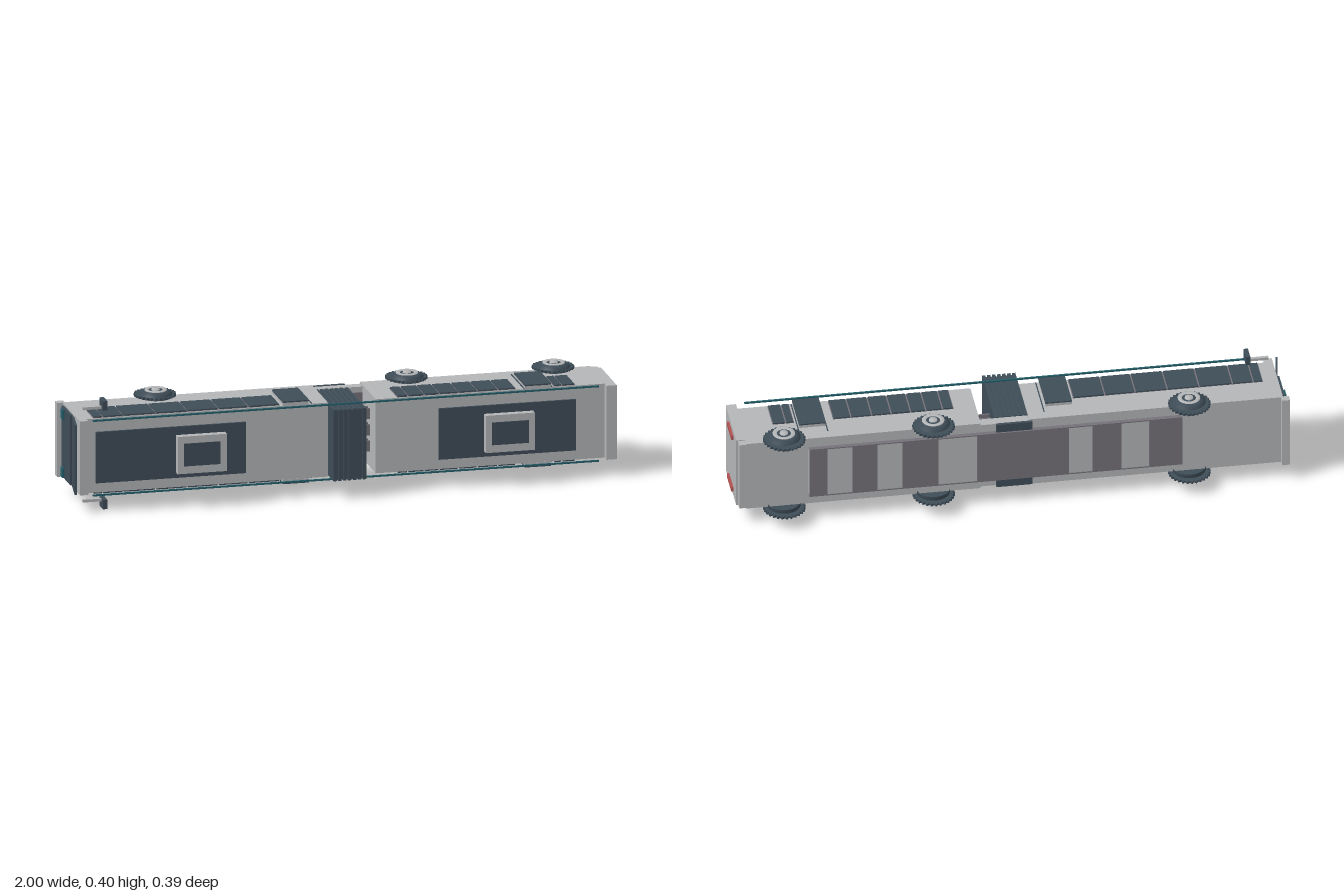
import * as THREE from 'three';

const mat = (name, color) => {
  const m = new THREE.MeshStandardMaterial({ color });
  m.name = name;
  return m;
};

export function createModel() {
  const model = new THREE.Group();
  model.name = 'articulatedBus';
  const light = mat('lightGrey', 0xb4b6b8);
  const slate = mat('darkSlate', 0x3f4d58);
  const mid = mat('midGrey', 0x75727a);
  const red = mat('tailRed', 0xb35252);
  const teal = mat('teal', 0x24606b);

  // Box from its limits along x, y and z
  const box = (name, m, x0, x1, y0, y1, z0, z1) => {
    const mesh = new THREE.Mesh(new THREE.BoxGeometry(x1 - x0, y1 - y0, z1 - z0), m);
    mesh.position.set((x0 + x1) / 2, (y0 + y1) / 2, (z0 + z1) / 2);
    mesh.name = name;
    model.add(mesh);
    return mesh;
  };
  // The same box on both flanks, mirrored about y = 0.2
  const pair = (name, m, x0, x1, y0, y1, z0, z1) => {
    box(name, m, x0, x1, y0, y1, z0, z1);
    box(name, m, x0, x1, 0.4 - y1, 0.4 - y0, z0, z1);
  };

  // Two body sections and their raised end caps
  box('frontBody', light, -0.945, -0.06, 0.063, 0.337, -0.12, 0.113);
  box('rearBody', light, 0.115, 0.96, 0.063, 0.337, -0.12, 0.113);
  box('frontCap', light, -0.975, -0.945, 0.063, 0.337, -0.12, 0.137);
  box('rearCap', light, 0.955, 0.992, 0.063, 0.337, -0.091, 0.143);
  box('rearSkirt', light, 0.955, 0.985, 0.066, 0.334, -0.12, -0.091);
  box('bumper', light, -0.997, -0.968, 0.063, 0.337, -0.143, -0.115);

  // Front glazing: upright lower pane and tilted upper pane
  box('lowerWindscreen', slate, -0.985, -0.975, 0.072, 0.33, -0.1, 0.03);
  const screen = new THREE.Mesh(new THREE.BoxGeometry(0.008, 0.258, 0.14), slate);
  screen.position.set(-0.984, 0.2, 0.085);
  screen.rotation.y = -0.16;
  screen.name = 'upperWindscreen';
  model.add(screen);
  pair('headlamp', teal, -0.992, -0.983, 0.29, 0.325, -0.085, -0.055);

  // Tail lamps
  pair('tailLamp', red, 0.992, 1, 0.301, 0.318, -0.031, 0.064);

  // Roof panels, raised pods and long gutter rails
  for (const [x0, x1] of [[-0.92, -0.37], [0.337, 0.84]])
    box('roofPanel', slate, x0, x1, 0.108, 0.297, 0.143, 0.151);
  for (const x of [-0.54, 0.59]) {
    box('roofPod', light, x - 0.09, x + 0.09, 0.132, 0.27, 0.162, 0.189);
    box('podGrille', slate, x - 0.067, x + 0.067, 0.16, 0.244, 0.188, 0.191);
  }
  pair('gutterRail', teal, -0.93, 0.925, 0.335, 0.341, 0.141, 0.147);

  // Window bands, divided by narrow posts
  const windowEdges = [
    [-0.92, -0.885, -0.81, -0.69, -0.575, -0.46, -0.35, -0.235],
    [0.195, 0.235, 0.295, 0.35, 0.42, 0.49, 0.565, 0.63],
    [0.77, 0.8, 0.848],
  ];
  for (const edges of windowEdges) {
    pair('windowBand', mid, edges[0], edges[edges.length - 1], 0.336, 0.339, -0.01, 0.107);
    for (let i = 0; i + 1 < edges.length; i++)
      pair('window', slate, edges[i] + 0.003, edges[i + 1] - 0.003, 0.337, 0.343, -0.01, 0.107);
  }

  // Doors with pale edges
  for (const x of [-0.178, 0.71]) {
    pair('doorFrame', light, x - 0.047, x + 0.047, 0.337, 0.349, -0.046, 0.114);
    pair('doorGlass', slate, x - 0.048, x + 0.048, 0.348, 0.353, -0.047, 0.116);
  }
  for (const x of [-0.12, 0.66, 0.762])
    pair('panelSeam', slate, x - 0.002, x + 0.002, 0.336, 0.339, -0.08, 0.11);

  // Folding bellows between the sections
  box('bellowsCore', slate, -0.06, 0.06, 0.073, 0.327, -0.08, 0.19);
  for (let i = 0; i < 7; i++) {
    const x = -0.054 + i * 0.018;
    box('bellowsFold', slate, x - 0.006, x + 0.006, 0.068, 0.332, -0.08, 0.195);
  }
  box('jointFloor', light, -0.06, 0.115, 0.07, 0.33, -0.12, -0.082);
  box('turntable', mid, 0.06, 0.115, 0.1, 0.31, -0.09, -0.078);
  for (const y of [0.14, 0.2, 0.26])
    for (const z of [-0.002, 0.024])
      box('linkBar', mid, 0.06, 0.115, y - 0.02, y + 0.02, z - 0.003, z + 0.003);
  box('jointPlate', slate, -0.07, 0.06, 0.068, 0.332, -0.131, -0.12);

  // Underfloor tray with alternating panels
  box('underTray', light, -0.61, 0.735, 0.104, 0.296, -0.134, -0.12);
  for (const [x0, x1] of [[0.67, 0.735], [0.49, 0.58], [0.27, 0.4], [-0.2, 0.13], [-0.39, -0.285], [-0.61, -0.49]])
    box('underPanel', mid, x0, x1, 0.104, 0.296, -0.137, -0.133);
  pair('traySide', mid, -0.61, 0.735, 0.296, 0.3, -0.137, -0.12);

  // Wing mirrors on arms
  pair('mirrorArm', light, -0.955, -0.87, 0.366, 0.376, 0.084, 0.096);
  pair('mirror', slate, -0.886, -0.87, 0.365, 0.4, 0.063, 0.117);

  // Wheels: toothed tread, domed tyre and stepped hub, axis along y
  const gear = new THREE.Shape();
  const teeth = 28;
  for (let i = 0; i < teeth * 4; i++) {
    const a = (i / (teeth * 4)) * Math.PI * 2;
    const r = i % 4 < 2 ? 0.076 : 0.069;
    gear[i ? 'lineTo' : 'moveTo'](Math.cos(a) * r, Math.sin(a) * r);
  }
  const treadGeo = new THREE.ExtrudeGeometry(gear, { depth: 0.008, bevelEnabled: false });
  treadGeo.rotateX(-Math.PI / 2);
  const lathe = (pts) => new THREE.LatheGeometry(pts.map(([r, y]) => new THREE.Vector2(r, y)), 32);
  const wheelParts = [
    ['tyre', slate, lathe([[0.06, 0.125], [0.06, 0.15], [0.042, 0.162], [0, 0.162]])],
    ['rim', light, lathe([[0.04, 0.16], [0.04, 0.165], [0.028, 0.165], [0.025, 0.163]])],
    ['hub', light, lathe([[0.016, 0.16], [0.014, 0.168], [0, 0.168]])],
  ];
  for (const x of [-0.637, 0.285, 0.823])
    for (const turn of [0, Math.PI]) {
      const wheel = new THREE.Group();
      wheel.name = 'wheel';
      const tread = new THREE.Mesh(treadGeo, slate);
      tread.name = 'tread';
      tread.position.set(0, 0.14, -0.01);
      wheel.add(tread);
      for (const [name, m, geo] of wheelParts) {
        const mesh = new THREE.Mesh(geo, m);
        mesh.name = name;
        wheel.add(mesh);
      }
      wheel.position.set(x, 0.2, -0.11);
      wheel.rotation.z = turn;
      model.add(wheel);
    }
  return model;
}
